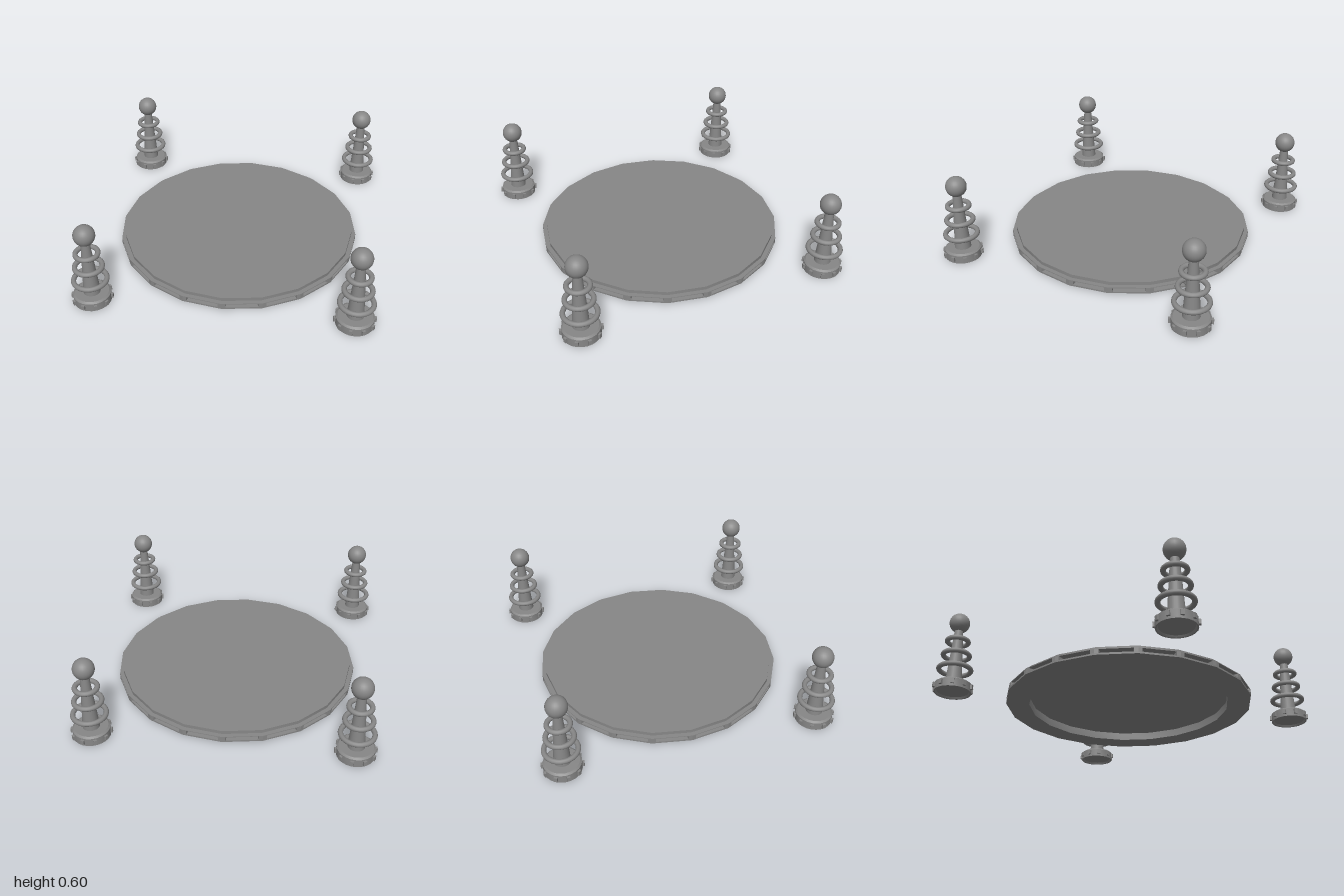
import * as THREE from 'three';
import { toCreasedNormals } from 'three/addons/utils/BufferGeometryUtils.js';

const grey = new THREE.MeshStandardMaterial({ color: 0x878787 });

function add(parent, name, geometry) {
  const mesh = new THREE.Mesh(geometry, grey);
  mesh.name = name;
  parent.add(mesh);
  return mesh;
}

// Turned part with smooth walls and sharp rims
function lathe(points, sides) {
  const profile = points.map(([r, y]) => new THREE.Vector2(r, y));
  return toCreasedNormals(new THREE.LatheGeometry(profile, sides), 0.4);
}

// Twenty-sided platform: hollow underside, slotted rim, raised top disc
function createPlatform() {
  const platform = new THREE.Group();
  platform.name = 'platform';
  const sides = 20, radius = 0.86, slotInner = 0.81;
  const bottom = 0.008, slotLow = 0.019, slotHigh = 0.046, step = 0.051, top = 0.075;

  add(platform, 'platformDisc', lathe([
    [0, 0.062], [0.7, 0.062], [0.7, bottom], [radius, bottom],
    [radius, slotLow], [slotInner, slotLow], [slotInner, slotHigh], [radius, slotHigh],
    [radius, step], [0.83, step], [0.83, top], [0, top],
  ], sides));

  // Corner ribs divide the rim groove into one slot per side
  const half = 0.026;
  const shoulder = radius - half * Math.tan(Math.PI / sides);
  const shape = new THREE.Shape([
    [0.79, -half], [shoulder, -half], [radius, 0], [shoulder, half], [0.79, half],
  ].map(([x, y]) => new THREE.Vector2(x, y)));
  const rib = new THREE.ExtrudeGeometry(shape, { depth: slotHigh - slotLow, bevelEnabled: false });
  rib.rotateX(-Math.PI / 2);
  for (let i = 0; i < sides; i++) {
    const mesh = add(platform, 'rimRib', rib);
    mesh.position.y = slotLow;
    mesh.rotation.y = (i / sides) * Math.PI * 2;
  }
  return platform;
}

// Corner tower: studded foot, tapered column, three floating rings, ball
function createTower() {
  const tower = new THREE.Group();
  tower.name = 'tower';

  add(tower, 'towerFoot', lathe([
    [0, 0.012], [0.108, 0.012], [0.115, 0], [0.125, 0], [0.125, 0.058], [0.112, 0.068], [0, 0.068],
  ], 24));

  const studs = 10;
  const stud = new THREE.BoxGeometry(0.03, 0.032, 0.022);
  for (let i = 0; i < studs; i++) {
    const angle = (i / studs) * Math.PI * 2 - 0.12;
    const mesh = add(tower, 'footStud', stud);
    mesh.position.set(Math.cos(angle) * 0.123, 0.032, Math.sin(angle) * 0.123);
    mesh.rotation.y = -angle;
  }

  const column = add(tower, 'column', new THREE.CylinderGeometry(0.028, 0.057, 0.42, 20));
  column.position.y = 0.272;

  const tube = 0.017;
  for (const [outer, y] of [[0.125, 0.171], [0.106, 0.278], [0.089, 0.385]]) {
    const ring = new THREE.TorusGeometry(outer - tube, tube, 12, 32);
    ring.rotateX(Math.PI / 2);
    add(tower, 'ring', ring).position.y = y;
  }

  add(tower, 'ball', new THREE.SphereGeometry(0.071, 24, 16)).position.y = 0.529;
  return tower;
}

export function createModel() {
  const model = new THREE.Group();
  model.name = 'arena';
  model.add(createPlatform());
  for (const x of [-1, 1]) {
    for (const z of [-1, 1]) {
      const tower = createTower();
      tower.position.set(x * 0.862, 0, z * 0.862);
      model.add(tower);
    }
  }
  return model;
}
